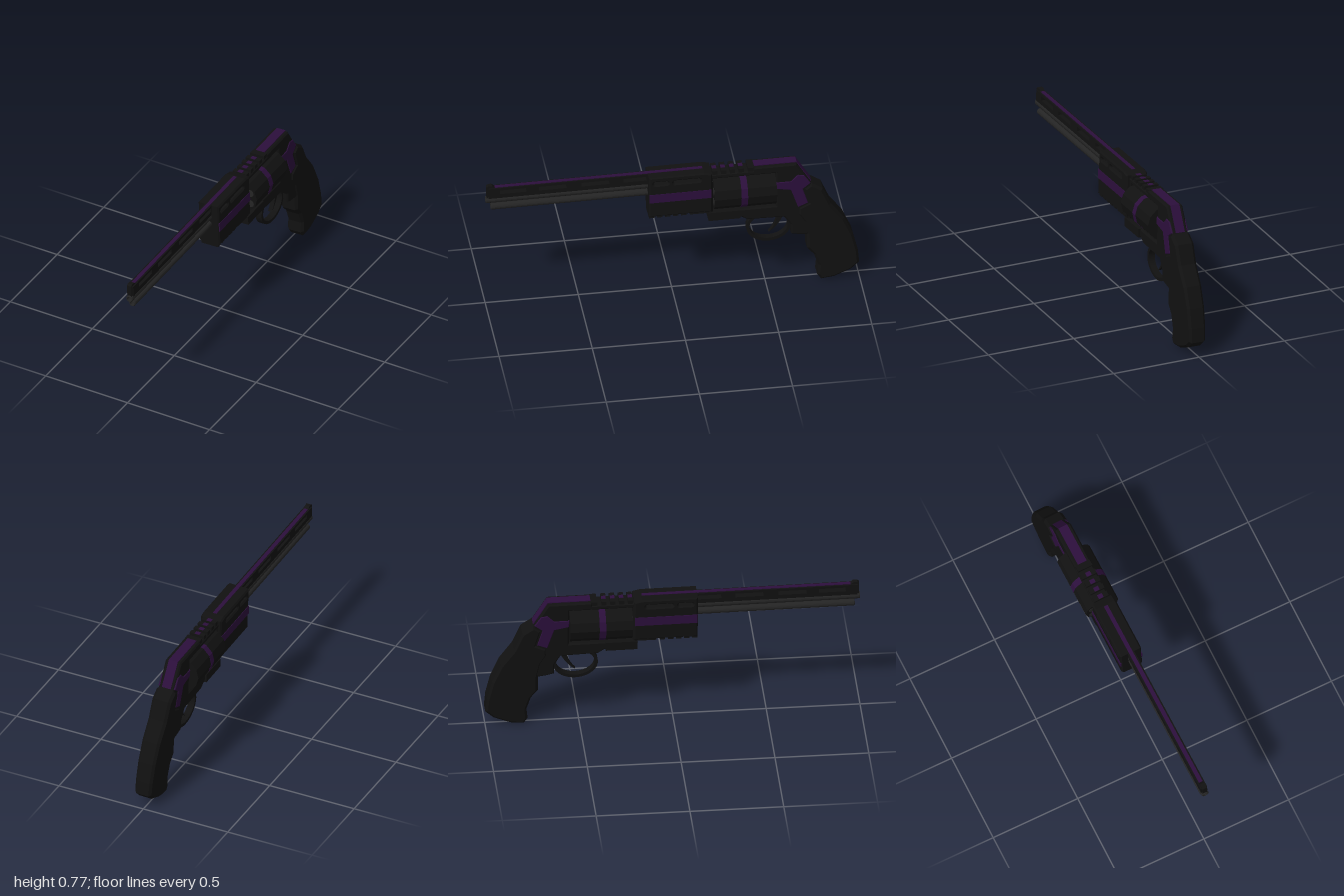
import * as THREE from 'three';

const mat = (color) => new THREE.MeshStandardMaterial({ color });
const black = mat(0x111111), purple = mat(0x2c0f3c), steel = mat(0x242424);

// Side outline given as [z, y] points
const outline = (pts) => new THREE.Shape(pts.map(([z, y]) => new THREE.Vector2(z, y)));

// Rectangular or round-ended slot as a hole
function slot(z0, z1, y0, y1, round = 0) {
  const p = new THREE.Path(), r = round;
  if (r) {
    const ym = (y0 + y1) / 2;
    p.absarc(z1 - r, ym, r, -Math.PI / 2, Math.PI / 2, false);
    p.absarc(z0 + r, ym, r, Math.PI / 2, Math.PI * 1.5, false);
    p.closePath();
  } else {
    p.moveTo(z0, y0).lineTo(z1, y0).lineTo(z1, y1).lineTo(z0, y1).closePath();
  }
  return p;
}

// Extrude a side outline symmetrically across x, with a chamfer
function slab(shape, half, bevel = 0) {
  const g = new THREE.ExtrudeGeometry(shape, {
    depth: 2 * (half - bevel), bevelEnabled: bevel > 0, bevelThickness: bevel,
    bevelSize: bevel, bevelOffset: -bevel, bevelSegments: 1, curveSegments: 10,
  });
  g.translate(0, 0, -(half - bevel));
  return g.rotateY(-Math.PI / 2);
}

export function createModel() {
  const root = new THREE.Group();
  root.name = 'revolver';
  const body = new THREE.Group();
  body.name = 'body';
  root.add(body);

  const add = (name, geo, material) => {
    const m = new THREE.Mesh(geo, material);
    m.name = name;
    body.add(m);
    return m;
  };
  const box = (name, material, half, y0, y1, z0, z1, x = 0) => {
    const m = add(name, new THREE.BoxGeometry(half * 2, y1 - y0, Math.abs(z1 - z0)), material);
    m.position.set(x, (y0 + y1) / 2, (z0 + z1) / 2);
  };

  // Twin hollow barrels
  const tube = (name, y, r, front) => {
    const back = 0.1, len = front - back;
    const pts = [[r, 0], [r, len - 0.004], [r - 0.003, len], [r * 0.65, len], [r * 0.65, len - 0.08], [0, len - 0.08]];
    const g = new THREE.LatheGeometry(pts.map(([a, b]) => new THREE.Vector2(a, b)), 16);
    g.rotateX(Math.PI / 2).translate(0, y, back);
    add(name, g.toNonIndexed(), steel).geometry.computeVertexNormals();
  };
  tube('upperBarrel', 0.679, 0.02, 1);
  tube('lowerBarrel', 0.634, 0.019, 0.972);

  // Ventilated rail and front sight
  const rail = outline([[0.1, 0.693], [0.985, 0.693], [0.985, 0.754], [0.1, 0.754]]);
  for (const [a, b] of [[0.78, 0.924], [0.565, 0.715], [0.335, 0.485], [0.135, 0.26]])
    rail.holes.push(slot(a, b, 0.717, 0.74));
  add('ventilatedRail', slab(rail, 0.019), black);
  box('railStripe', purple, 0.011, 0.75, 0.757, 0.1, 0.95);
  add('frontSight', slab(outline([[0.945, 0.75], [0.995, 0.69], [0.995, 0.76], [0.985, 0.768], [0.965, 0.768]]), 0.013), black);

  // Barrel shroud with through slots
  const shroud = outline([[-0.21, 0.508], [0.13, 0.508], [0.13, 0.755], [-0.17, 0.755], [-0.21, 0.745]]);
  shroud.holes.push(slot(0.025, 0.105, 0.706, 0.724, 0.009), slot(-0.148, -0.002, 0.706, 0.724, 0.009));
  add('barrelShroud', slab(shroud, 0.062, 0.008), black);
  for (const s of [-1, 1]) box('shroudBand', purple, 0.003, 0.599, 0.65, -0.205, 0.128, s * 0.062);
  box('shroudTopStripe', purple, 0.011, 0.75, 0.757, -0.165, 0.128);
  // Teeth under the shroud
  for (let i = 0; i < 5; i++) {
    const z = 0.115 - i * 0.043;
    box('shroudTooth', black, 0.05, 0.496, 0.512, z - 0.014, z + 0.014);
  }
  box('shroudHeel', black, 0.05, 0.496, 0.512, -0.205, -0.09);

  // Frame with the cylinder window
  const frame = outline([
    [-0.19, 0.447], [-0.19, 0.732], [-0.43, 0.732], [-0.43, 0.749], [-0.667, 0.749], [-0.742, 0.625],
    [-0.78, 0.55], [-0.78, 0.36], [-0.72, 0.295], [-0.68, 0.3], [-0.635, 0.31], [-0.632, 0.37],
    [-0.6, 0.42], [-0.40, 0.425], [-0.367, 0.447],
  ]);
  frame.holes.push(slot(-0.555, -0.216, 0.496, 0.702));
  add('frame', slab(frame, 0.046, 0.008), black);
  box('lowerFrameBlock', black, 0.056, 0.447, 0.496, -0.36, -0.19);

  // Ridges on the top strap
  for (let i = 0; i < 4; i++) {
    const z = -0.228 - i * 0.047;
    box('strapRidge', black, 0.042, 0.728, 0.75, z - 0.014, z + 0.014);
    box('strapRidgeInlay', purple, 0.014, 0.73, 0.752, z - 0.012, z + 0.012);
  }
  box('strapRidge', black, 0.042, 0.728, 0.75, -0.44, -0.405);

  // Purple inlays on the rear of the frame
  add('backstrapInlay', slab(outline([[-0.44, 0.74], [-0.44, 0.753], [-0.669, 0.753], [-0.747, 0.624],
    [-0.735, 0.615], [-0.66, 0.735]]), 0.026), purple);
  add('frameInlay', slab(outline([[-0.555, 0.645], [-0.635, 0.645], [-0.672, 0.682], [-0.705, 0.676],
    [-0.74, 0.623], [-0.698, 0.59], [-0.726, 0.5], [-0.672, 0.478], [-0.635, 0.59], [-0.555, 0.605]]), 0.05, 0.003), purple);

  // Cylinder with chambers and a band
  const drum = (name, r, z0, z1, material) => {
    const g = new THREE.CylinderGeometry(r, r, z1 - z0, 12).rotateX(Math.PI / 2).toNonIndexed();
    g.computeVertexNormals();
    add(name, g, material).position.set(0, 0.599, (z0 + z1) / 2);
  };
  drum('cylinder', 0.097, -0.553, -0.219, black);
  drum('cylinderBand', 0.0985, -0.397, -0.362, purple);
  for (let i = 0; i < 6; i++) {
    const a = (i / 6) * Math.PI * 2 + Math.PI / 6;
    const g = new THREE.CylinderGeometry(0.022, 0.022, 0.003, 12).rotateX(Math.PI / 2);
    add('chamber', g, steel).position.set(Math.cos(a) * 0.065, 0.599 + Math.sin(a) * 0.065, -0.2185);
  }

  // Trigger guard and trigger
  const guard = new THREE.Shape();
  guard.absellipse(-0.518, 0.358, 0.12, 0.094, 0, Math.PI * 2);
  const gap = new THREE.Path();
  gap.absellipse(-0.518, 0.358, 0.103, 0.077, 0, Math.PI * 2);
  guard.holes.push(gap);
  const guardGeo = new THREE.ExtrudeGeometry(guard, { depth: 0.036, bevelEnabled: false, curveSegments: 24 });
  add('triggerGuard', guardGeo.translate(0, 0, -0.018).rotateY(-Math.PI / 2), black);
  const trigger = new THREE.Shape();
  trigger.moveTo(-0.565, 0.43);
  trigger.quadraticCurveTo(-0.562, 0.36, -0.518, 0.315);
  trigger.quadraticCurveTo(-0.57, 0.345, -0.605, 0.43);
  trigger.closePath();
  add('trigger', slab(trigger, 0.012), black);

  // Grip, chamfered and wider toward the top
  const grip = slab(outline([
    [-0.745, 0.62], [-0.806, 0.58], [-0.849, 0.479], [-0.92, 0.382], [-0.967, 0.275], [-0.993, 0.168],
    [-1, 0.09], [-0.956, 0.05], [-0.865, 0.012], [-0.795, 0.004], [-0.774, 0.035], [-0.78, 0.094],
    [-0.758, 0.163], [-0.72, 0.21], [-0.72, 0.3], [-0.704, 0.377], [-0.672, 0.43], [-0.675, 0.475],
    [-0.728, 0.5], [-0.703, 0.59],
  ]), 0.048, 0.013);
  const p = grip.attributes.position;
  for (let i = 0; i < p.count; i++) p.setX(i, p.getX(i) * (1 + 0.3 * Math.max(0, p.getY(i) - 0.1)));
  grip.computeVertexNormals();
  add('grip', grip, black);

  // Slight lean and turn of the whole piece
  body.children.forEach((m) => { m.position.y -= 0.55; });
  body.position.set(0.002, 0.55, 0);
  body.rotation.set(0, 0.012, 0.035);
  return root;
}
